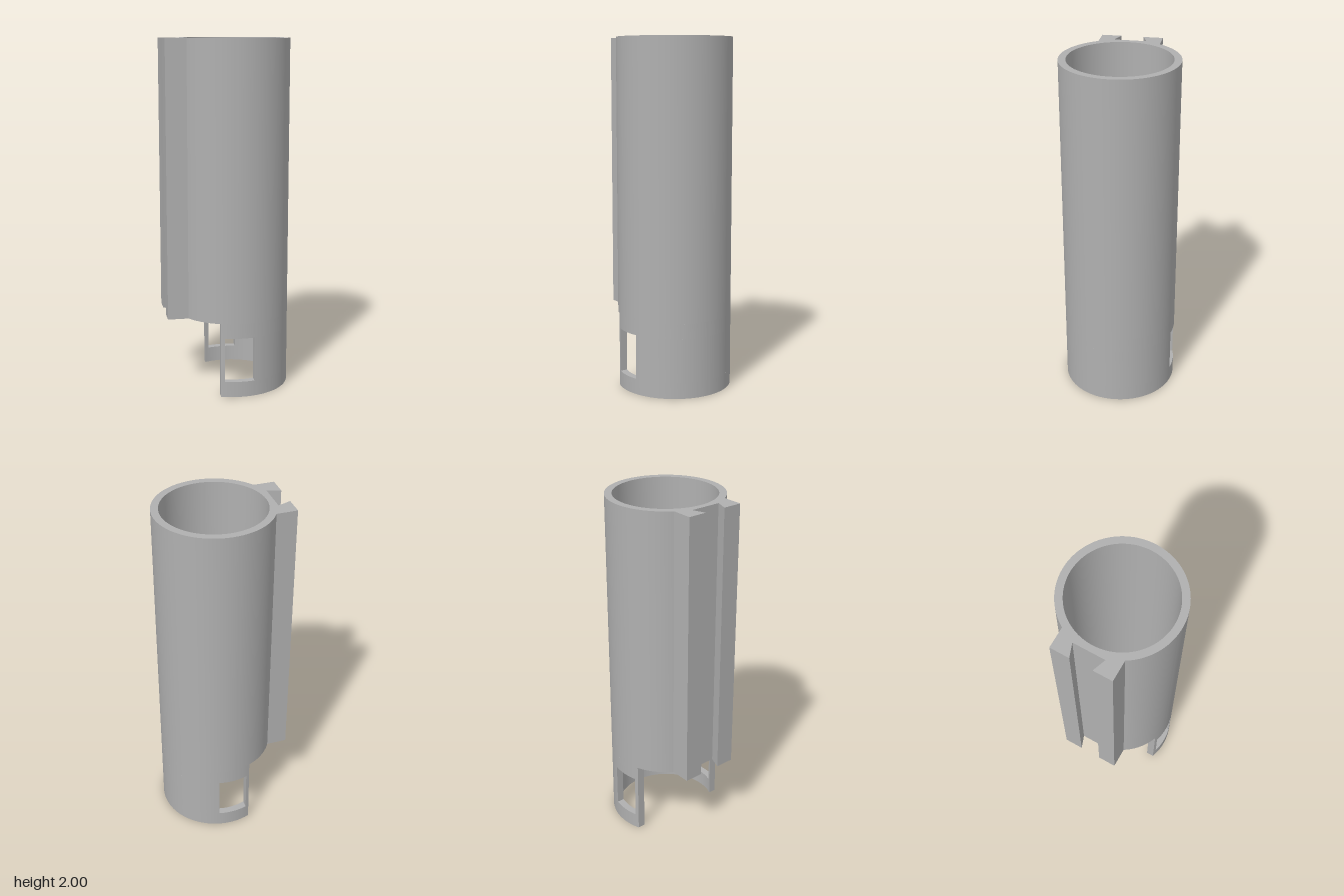
import * as THREE from 'three';
import { toCreasedNormals } from 'three/addons/utils/BufferGeometryUtils.js';

const CX = 0.035, R_OUT = 0.328, R_IN = 0.287;
const CUT_Y = 0.43, TOP_Y = 2;
const WIN_Y0 = 0.09, WIN_Y1 = 0.345, WIN_X0 = -0.06, WIN_X1 = 0.11, CUT_X = -0.08;

// angle at which a circle of radius r crosses the plane x
const angleAt = (x, r) => Math.acos((x - CX) / r);

export function createModel() {
  const group = new THREE.Group();
  const grey = new THREE.MeshStandardMaterial({ color: 0xb0b0b0 });
  grey.name = 'grey plastic';

  // extrude a plan shape upwards between two heights
  function addSlab(name, shape, y0, y1) {
    let geo = new THREE.ExtrudeGeometry(shape, { depth: y1 - y0, bevelEnabled: false, curveSegments: 72 });
    geo.rotateX(-Math.PI / 2).translate(0, y0, 0);
    geo = toCreasedNormals(geo, 0.4);
    const mesh = new THREE.Mesh(geo, grey);
    mesh.name = name;
    group.add(mesh);
  }

  // part of the ring wall with x greater than the given plane
  function openRing(x) {
    const s = new THREE.Shape();
    const a = angleAt(x, R_OUT), b = angleAt(x, R_IN);
    s.absarc(CX, 0, R_OUT, -a, a, false);
    s.absarc(CX, 0, R_IN, b, -b, true);
    s.closePath();
    return s;
  }

  // short piece of ring wall between two x planes, on one side
  function post(x0, x1, side) {
    const s = new THREE.Shape();
    s.absarc(CX, 0, R_OUT, side * angleAt(x1, R_OUT), side * angleAt(x0, R_OUT), side < 0);
    s.absarc(CX, 0, R_IN, side * angleAt(x0, R_IN), side * angleAt(x1, R_IN), side > 0);
    s.closePath();
    return s;
  }

  // upper tube with the dovetail rail
  const body = new THREE.Shape();
  const railZ = 0.172, a = Math.PI - Math.asin(railZ / R_OUT);
  body.absarc(CX, 0, R_OUT, -a, a, false);
  [[-0.362, railZ], [-0.362, 0.063], [-0.287, 0.09], [-0.287, -0.09], [-0.362, -0.063], [-0.362, -railZ]]
    .forEach(([x, z]) => body.lineTo(x, z));
  body.closePath();
  const bore = new THREE.Path();
  bore.absarc(CX, 0, R_IN, 0, Math.PI * 2, true);
  body.holes.push(bore);
  addSlab('tubeWithRail', body, CUT_Y, TOP_Y);

  // inner shelf with a rectangular opening
  const shelf = new THREE.Shape();
  shelf.absarc(CX, 0, R_IN + 0.004, 0, Math.PI * 2, false);
  const opening = new THREE.Path();
  opening.moveTo(-0.18, -0.157).lineTo(-0.18, 0.157).lineTo(0.248, 0.157).lineTo(0.248, -0.157).closePath();
  shelf.holes.push(opening);
  addSlab('innerShelf', shelf, CUT_Y, CUT_Y + 0.08);

  // open lower skirt with a window on each side
  addSlab('skirtBottom', openRing(CUT_X), 0, WIN_Y0);
  addSlab('skirtWall', openRing(WIN_X1), WIN_Y0, WIN_Y1);
  addSlab('skirtTop', openRing(CUT_X), WIN_Y1, CUT_Y);
  for (const side of [1, -1]) {
    addSlab(side > 0 ? 'backWindowPost' : 'frontWindowPost', post(CUT_X, WIN_X0, side), WIN_Y0, WIN_Y1);
  }
  return group;
}
